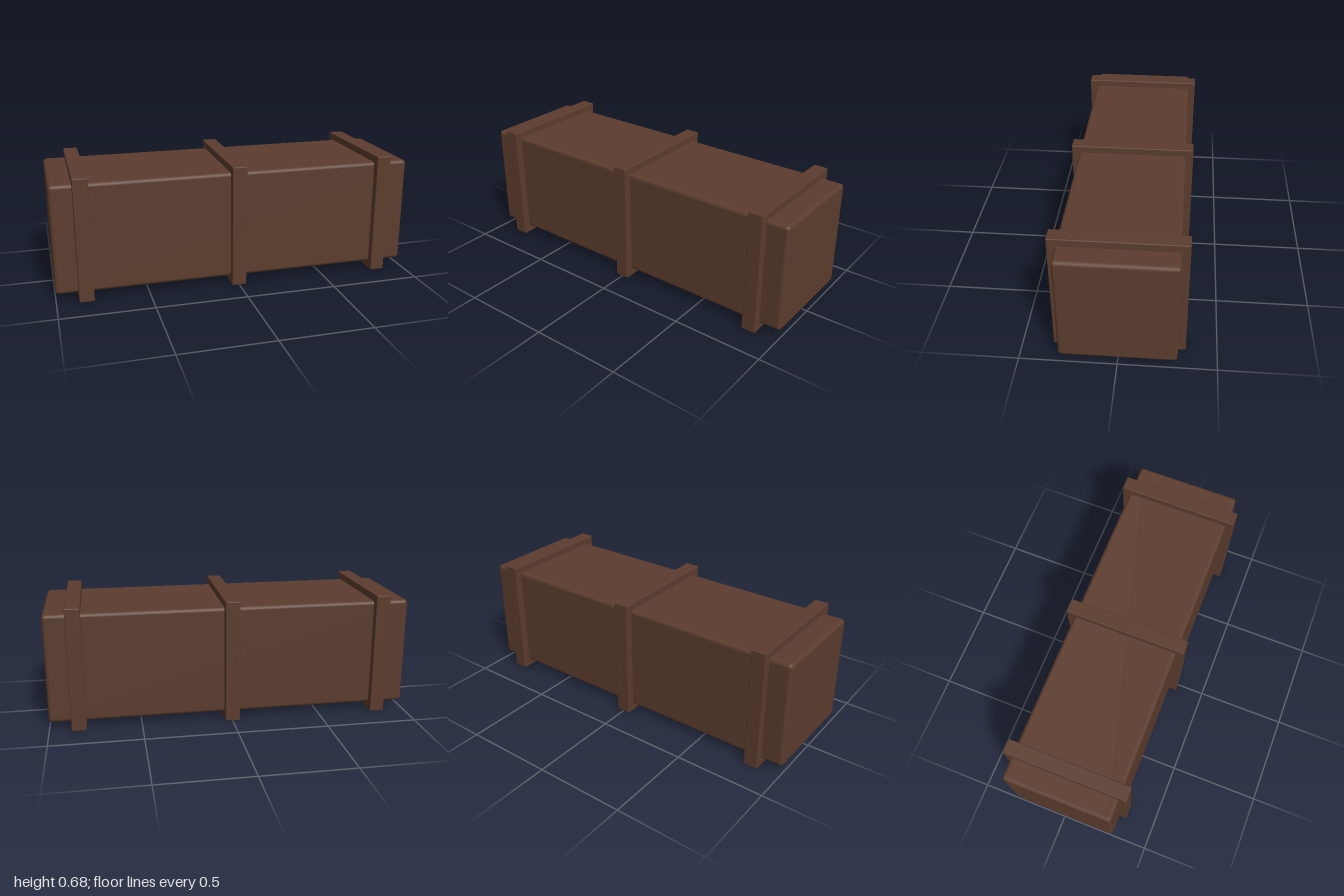
import * as THREE from 'three';
import { RoundedBoxGeometry } from 'three/addons/geometries/RoundedBoxGeometry.js';

export function createModel() {
  const group = new THREE.Group();
  group.name = 'bandedBeam';
  const brown = new THREE.MeshStandardMaterial({ color: 0x5c3d2e });
  brown.name = 'dark brown wood';

  // Softly bevelled block, centred on the beam's axis
  function addBlock(name, x, width, size, bevel) {
    const mesh = new THREE.Mesh(new RoundedBoxGeometry(width, size, size, 2, bevel), brown);
    mesh.name = name;
    mesh.position.set(x, 0.34, 0);
    group.add(mesh);
  }

  // Long square beam
  addBlock('beam', 0, 2, 0.6, 0.02);

  // Three raised bands around it
  const bands = { rightBand: -0.84, middleBand: 0, leftBand: 0.84 };
  for (const [name, x] of Object.entries(bands)) addBlock(name, x, 0.08, 0.68, 0.005);

  return group;
}
